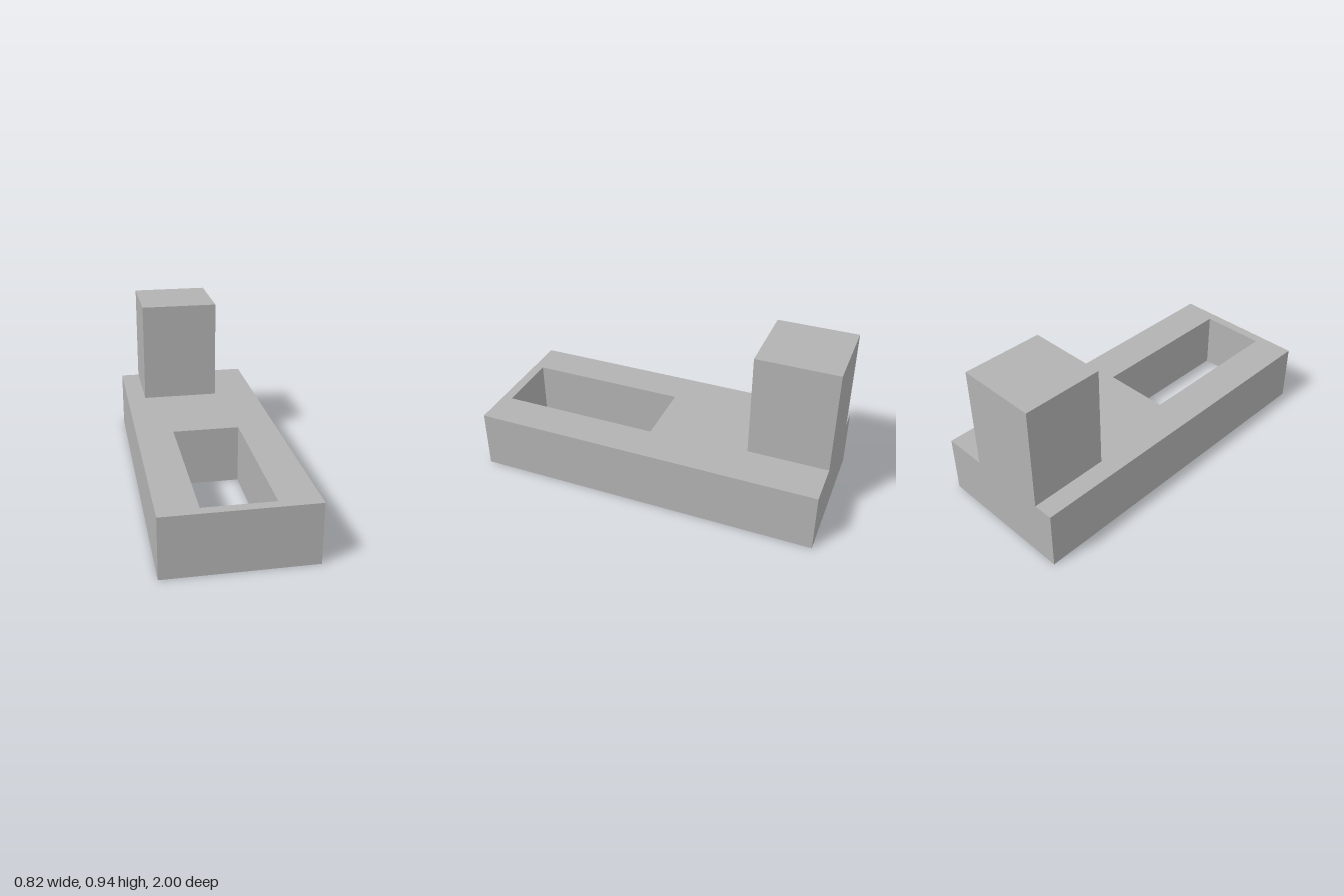
import * as THREE from 'three';

const BASE = { x: 0.41, z: 1, height: 0.343 };
const SLOT = { left: -0.195, right: 0.19, back: 0.027, front: 0.943 };
const TOWER = { left: -0.298, right: 0.158, back: -1, front: -0.543, top: 0.938 };

// Closed rectangle in plan; shape y is -z so that it lies flat after rotation
function rectangle(PathType, left, right, back, front) {
  return new PathType([
    new THREE.Vector2(left, -front),
    new THREE.Vector2(right, -front),
    new THREE.Vector2(right, -back),
    new THREE.Vector2(left, -back),
  ]);
}

export function createModel() {
  const model = new THREE.Group();
  model.name = 'slottedBlock';

  const grey = new THREE.MeshStandardMaterial({ color: 0xb2b2b2 });
  grey.name = 'plainGrey';

  // Base slab with a rectangular slot right through it
  const plan = rectangle(THREE.Shape, -BASE.x, BASE.x, -BASE.z, BASE.z);
  plan.holes.push(rectangle(THREE.Path, SLOT.left, SLOT.right, SLOT.back, SLOT.front));
  const slab = new THREE.ExtrudeGeometry(plan, { depth: BASE.height, bevelEnabled: false });
  slab.rotateX(-Math.PI / 2);
  const base = new THREE.Mesh(slab, grey);
  base.name = 'slottedBase';
  model.add(base);

  // Square tower, off centre and flush with the back edge
  const height = TOWER.top - BASE.height;
  const tower = new THREE.Mesh(
    new THREE.BoxGeometry(TOWER.right - TOWER.left, height, TOWER.front - TOWER.back),
    grey
  );
  tower.position.set(
    (TOWER.left + TOWER.right) / 2,
    BASE.height + height / 2,
    (TOWER.back + TOWER.front) / 2
  );
  tower.name = 'tower';
  model.add(tower);

  return model;
}
